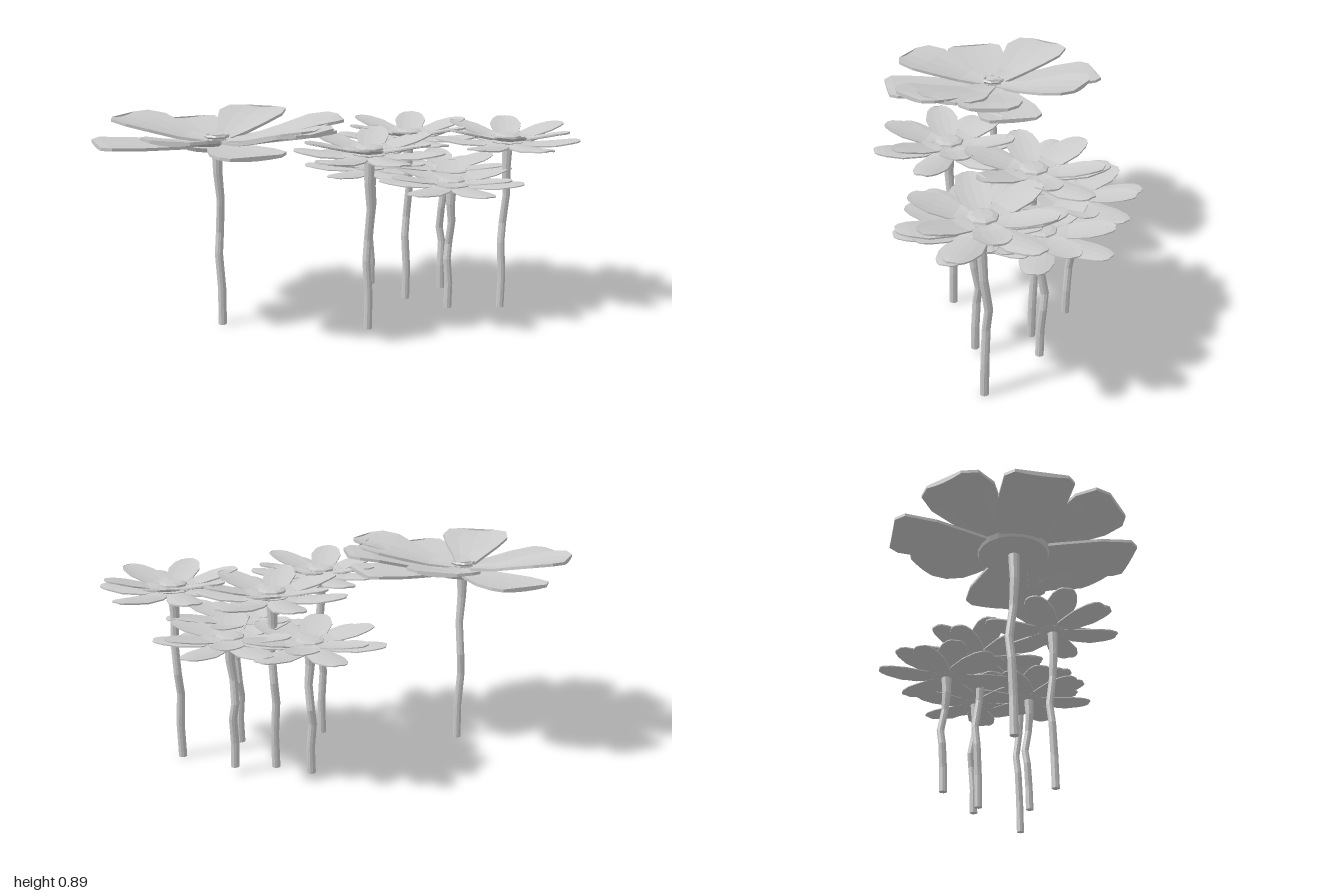
import * as THREE from 'three';

const material = new THREE.MeshStandardMaterial({ color: 0xcccccc, flatShading: true });

function add(parent, geometry, name, y = 0) {
  const mesh = new THREE.Mesh(geometry, material);
  mesh.name = name;
  mesh.position.y = y;
  parent.add(mesh);
  return mesh;
}

// Closed petal lofted along +x from stations [radius, half width, height]; cup lifts the edges.
function petalGeometry(stations, cup, thick) {
  const across = [-1, -0.5, 0, 0.5, 1];
  const ring = [...across.map(u => [u, 0]), ...across.slice().reverse().map(u => [u, -thick])];
  const n = ring.length, pos = [], index = [];
  const widest = Math.max(...stations.map(s => s[1]));
  for (const [r, w, y] of stations)
    for (const [u, dy] of ring) pos.push(r, y + dy + cup * u * u * (w / widest), u * w);
  for (let i = 0; i < stations.length - 1; i++)
    for (let k = 0; k < n; k++) {
      const a = i * n + k, b = i * n + (k + 1) % n;
      index.push(a, b, b + n, a, b + n, a + n);
    }
  const last = (stations.length - 1) * n;
  for (let k = 1; k < n - 1; k++) {
    index.push(0, k + 1, k);
    index.push(last, last + k, last + k + 1);
  }
  const g = new THREE.BufferGeometry();
  g.setAttribute('position', new THREE.Float32BufferAttribute(pos, 3));
  g.setIndex(index);
  g.computeVertexNormals();
  return g;
}

function addPetals(parent, geometry, name, degrees) {
  for (const d of degrees) add(parent, geometry, name).rotation.y = -THREE.MathUtils.degToRad(d);
}

// Slightly crooked stem, flared toward the top.
function stem(parent, bottom, top, flip) {
  const bends = [[0, 0, 0], [0.2, 0.003, -0.002], [0.4, -0.004, -0.01], [0.52, 0.006, -0.018],
    [0.7, 0.008, 0], [0.85, -0.002, 0.004], [1, 0, 0.002]];
  const sides = 10, rows = bends.length - 1;
  const g = new THREE.CylinderGeometry(0.018, 0.018, top - bottom, sides, rows);
  const p = g.attributes.position;
  for (let i = 0; i < p.count; i++) {
    const t = Math.round((p.getY(i) / (top - bottom) + 0.5) * rows);
    const [f, dx, dz] = bends[t];
    const s = f > 0.8 ? 1 + (f - 0.8) * 1.6 : 1 - f * 0.1;
    p.setXYZ(i, p.getX(i) * s + dx * flip, bottom + f * (top - bottom), p.getZ(i) * s + dz);
  }
  g.computeVertexNormals();
  add(parent, g, 'stem');
}

const range = (count, start) => Array.from({ length: count }, (_, i) => start + i * 360 / count);

// Large open flower with broad, blunt petals
function largeFlower() {
  const f = new THREE.Group();
  f.name = 'largeFlower';
  stem(f, 0, 0.785, 1);
  add(f, new THREE.CylinderGeometry(0.15, 0.14, 0.018, 20), 'flowerBase', 0.789);
  const flat = petalGeometry([[0.03, 0.05, 0.797], [0.18, 0.095, 0.802], [0.33, 0.13, 0.812],
    [0.455, 0.132, 0.822], [0.49, 0.1, 0.822]], 0.008, 0.012);
  addPetals(f, flat, 'lowerPetal', [2, 90, 180, 270]);
  const raised = petalGeometry([[0.03, 0.035, 0.803], [0.15, 0.07, 0.815], [0.25, 0.118, 0.838],
    [0.34, 0.15, 0.857], [0.42, 0.135, 0.87], [0.455, 0.08, 0.874]], 0.016, 0.012);
  addPetals(f, raised, 'upperPetal', [-47, -133, 129, 42]);
  const long = petalGeometry([[0.03, 0.035, 0.8], [0.15, 0.065, 0.81], [0.28, 0.105, 0.838],
    [0.4, 0.14, 0.868], [0.48, 0.125, 0.88], [0.515, 0.08, 0.882]], 0.012, 0.012);
  addPetals(f, long, 'longPetal', [14, 56]);

  // Square button with a raised rim
  const button = add(f, new THREE.CylinderGeometry(0.036, 0.045, 0.025, 4), 'centreButton', 0.818);
  button.rotation.y = Math.PI / 4;
  const rim = add(f, new THREE.TorusGeometry(0.046, 0.007, 5, 8), 'centreRim', 0.823);
  rim.rotation.set(Math.PI / 2, 0, Math.PI / 8);
  return f;
}

// Smaller flower with two tiers of narrow, ribbed petals
const lowerTier = petalGeometry([[0.03, 0.03, 0.018], [0.11, 0.056, 0.014], [0.2, 0.066, 0.021],
  [0.265, 0.052, 0.029], [0.295, 0.036, 0.031], [0.308, 0.02, 0.031]], -0.008, 0.006);
const upperTier = petalGeometry([[0.035, 0.025, 0.034], [0.1, 0.056, 0.038], [0.18, 0.068, 0.058],
  [0.235, 0.054, 0.073], [0.265, 0.035, 0.08], [0.276, 0.02, 0.082]], 0.007, 0.006);

function smallFlower(bottom, headY, headScale, spin) {
  const f = new THREE.Group();
  f.name = 'smallFlower';
  stem(f, bottom, headY + 0.008, spin % 20 ? 1 : -1);
  const head = new THREE.Group();
  head.name = 'flowerHead';
  head.position.y = headY;
  head.scale.y = headScale;
  f.add(head);
  const cup = [[0, 0], [0.045, 0], [0.065, 0.009], [0.07, 0.018], [0, 0.03]];
  add(head, new THREE.LatheGeometry(cup.map(c => new THREE.Vector2(...c)), 14), 'calyx');
  addPetals(head, lowerTier, 'lowerPetal', range(6, spin));
  addPetals(head, upperTier, 'upperPetal', range(6, spin + 30));
  const dome = [[0.062, 0.03], [0.058, 0.044], [0.04, 0.05], [0, 0.052]];
  add(head, new THREE.LatheGeometry(dome.map(c => new THREE.Vector2(...c)), 8), 'centreButton');
  return f;
}

export function createModel() {
  const model = new THREE.Group();
  model.name = 'flowers';
  const big = largeFlower();
  big.position.set(-0.51, 0, -0.065);
  model.add(big);

  // x, z, stem foot, head height, head depth, spin
  const plants = [
    [0.04, 0.235, 0, 0.742, 1, 90], [0.365, -0.04, 0, 0.742, 1, 30], [0.705, 0.23, 0, 0.742, 1, 90],
    [0.27, -0.215, 0.03, 0.58, 0.72, 30], [0.44, 0.215, 0.03, 0.58, 0.72, 90],
    [0.545, -0.03, 0.03, 0.58, 0.72, 20],
  ];
  for (const [x, z, bottom, headY, depth, spin] of plants) {
    const flower = smallFlower(bottom, headY, depth, spin);
    flower.position.set(x, 0, z);
    model.add(flower);
  }
  return model;
}
